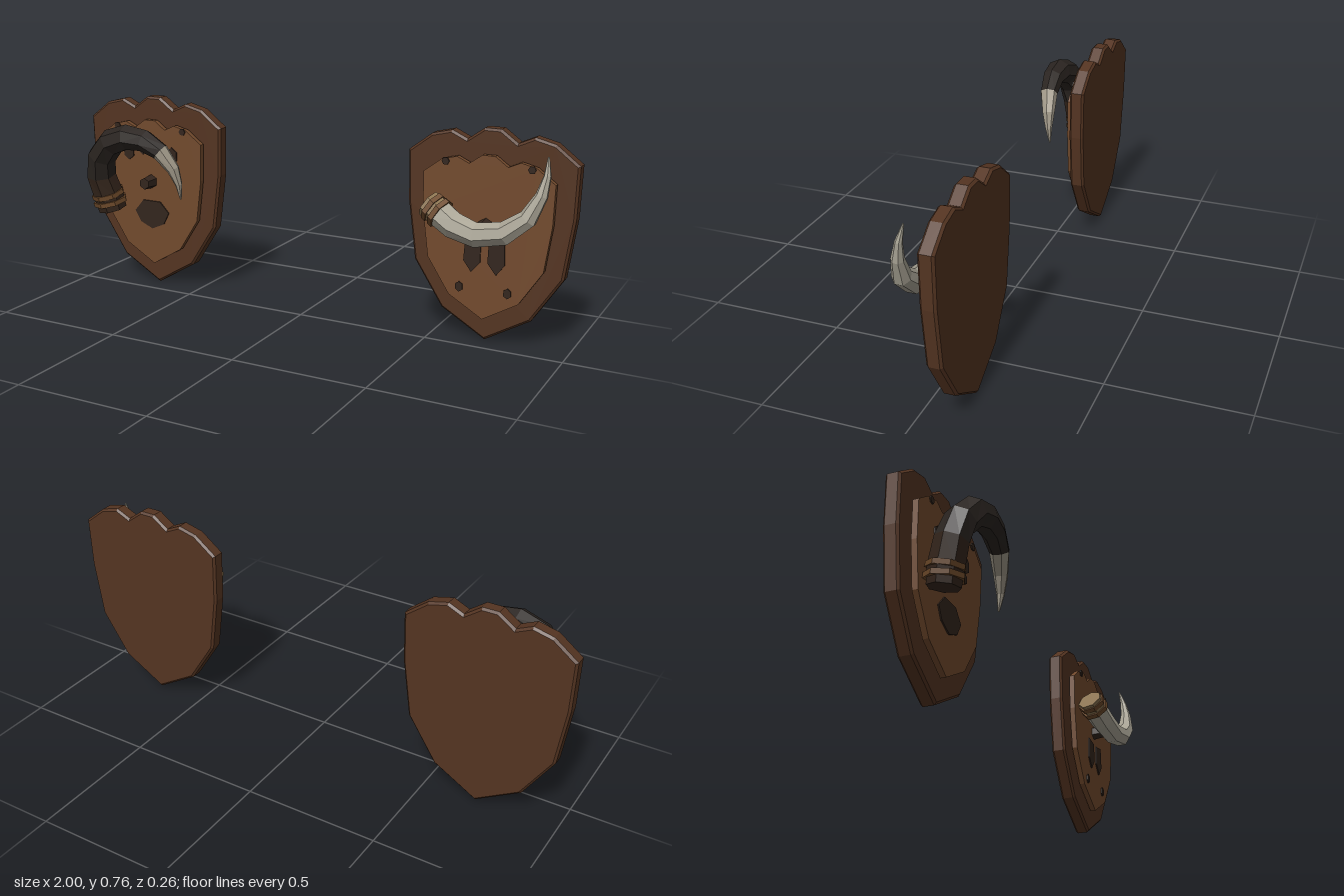
import * as THREE from 'three';

const mat = (color) => new THREE.MeshStandardMaterial({ color, flatShading: true });
const WOOD = mat(0x543421), PANEL = mat(0x724a2d), DARK = mat(0x33251d), BRASS = mat(0x6e4a2a);
const V = (p) => new THREE.Vector3(p[0], p[1], p[2]);

function add(parent, name, geometry, material) {
  const mesh = new THREE.Mesh(geometry, material);
  mesh.name = name;
  parent.add(mesh);
  return mesh;
}

// Shield outline: right half from the top centre down, mirrored for the left half
const HALF = [[0.03, 0.765], [0.09, 0.722], [0.147, 0.748], [0.22, 0.73], [0.305, 0.665],
  [0.301, 0.48], [0.272, 0.265], [0.165, 0.1]];
function shieldShape(scale) {
  const pts = [...HALF, [0, 0.003], ...HALF.map(([x, y]) => [-x, y]).reverse()];
  return new THREE.Shape(pts.map(([x, y]) =>
    new THREE.Vector2(x * scale, 0.385 + (y - 0.385) * scale)));
}

// Flat polygon plate standing on the panel
function plate(parent, name, pts) {
  const shape = new THREE.Shape(pts.map(([x, y]) => new THREE.Vector2(x, y)));
  const geo = new THREE.ExtrudeGeometry(shape, { depth: 0.006, bevelEnabled: false });
  add(parent, name, geo, DARK).position.z = -0.046;
}
function oval(cx, cy, rx, ry, sides, turn = 0) {
  return Array.from({ length: sides }, (_, i) => {
    const a = turn + (i / sides) * Math.PI * 2;
    return [cx + rx * Math.cos(a), cy + ry * Math.sin(a)];
  });
}

// Shield, inner panel, nails and the central peg
function plaque(name, x) {
  const g = new THREE.Group();
  g.name = name;
  g.position.x = x;
  add(g, 'shield', new THREE.ExtrudeGeometry(shieldShape(1), {
    depth: 0.039, bevelThickness: 0.008, bevelSize: 0.008, bevelOffset: -0.008, bevelSegments: 1,
  }), WOOD).position.z = -0.122;
  add(g, 'panel', new THREE.ExtrudeGeometry(shieldShape(0.77), {
    depth: 0.021, bevelEnabled: false,
  }), PANEL).position.z = -0.066;
  for (const s of [-1, 1]) plate(g, 'nail', oval(s * 0.153, 0.645, 0.014, 0.014, 6));
  const peg = add(g, 'peg', new THREE.CylinderGeometry(0.023, 0.028, 0.05, 6), DARK);
  peg.rotation.x = Math.PI / 2;
  peg.position.set(0, 0.432, -0.02);
  return g;
}

// Horn: polygon rings [x, y, z, radius] along a curve, split into coloured sections
const SIDES = 7;
function horn(name, rings, sections, bands) {
  const g = new THREE.Group();
  g.name = name;
  const curve = new THREE.CatmullRomCurve3(rings.map(V));
  const last = rings.length - 1;
  const loops = rings.map((r, i) => {
    const t = curve.getTangent(i / last);
    const b = new THREE.Vector3(0, 0, 1).addScaledVector(t, -t.z).normalize();
    const n = new THREE.Vector3().crossVectors(b, t);
    return Array.from({ length: SIDES }, (_, k) => {
      const a = (k / SIDES) * Math.PI * 2;
      return V(r).addScaledVector(n, Math.cos(a) * r[3]).addScaledVector(b, -Math.sin(a) * r[3]);
    });
  });
  for (const [part, from, to, color] of sections) {
    const pts = [];
    for (let k = 0; k < SIDES; k++) {
      const m = (k + 1) % SIDES;
      for (let i = from; i < to; i++) {
        const [a, b, c, d] = [loops[i][k], loops[i][m], loops[i + 1][m], loops[i + 1][k]];
        pts.push(a, b, c, a, c, d);
      }
      if (from === 0) pts.push(V(rings[0]), loops[0][m], loops[0][k]);
      if (to === last) pts.push(V(rings[last]), loops[last][k], loops[last][m]);
    }
    const geo = new THREE.BufferGeometry().setFromPoints(pts);
    geo.computeVertexNormals();
    const m = mat(color);
    m.side = THREE.DoubleSide;
    add(g, part, geo, m);
  }
  // Raised bands around the root
  for (const [t, radius] of bands) {
    const band = add(g, 'band', new THREE.CylinderGeometry(radius, radius, 0.018, SIDES), BRASS);
    band.position.copy(curve.getPoint(t / last));
    band.quaternion.setFromUnitVectors(new THREE.Vector3(0, 1, 0), curve.getTangent(t / last));
  }
  return g;
}

export function createModel() {
  const model = new THREE.Group();
  model.name = 'hornTrophies';

  // Paw print plaque with the dark, downward curling horn
  const paw = plaque('pawPlaque', -0.695);
  plate(paw, 'pawPad', [[-0.08, 0.305], [-0.04, 0.352], [0.04, 0.352], [0.08, 0.31],
    [0.055, 0.262], [0, 0.238], [-0.055, 0.262]]);
  for (const s of [-1, 1]) {
    plate(paw, 'toe', oval(s * 0.035, 0.572, 0.026, 0.034, 6, Math.PI / 6));
    plate(paw, 'toe', oval(s * 0.102, 0.545, 0.026, 0.034, 6, Math.PI / 6));
  }
  model.add(paw);
  model.add(horn('darkHorn', [
    [-0.848, 0.315, 0.012, 0.056], [-0.858, 0.375, 0.022, 0.06], [-0.871, 0.46, 0.045, 0.058],
    [-0.851, 0.54, 0.063, 0.056], [-0.794, 0.602, 0.074, 0.054], [-0.714, 0.63, 0.078, 0.05],
    [-0.634, 0.624, 0.077, 0.043], [-0.567, 0.586, 0.07, 0.035], [-0.521, 0.52, 0.055, 0.025],
    [-0.503, 0.46, 0.047, 0.014], [-0.5, 0.4, 0.04, 0.003],
  ], [['hornRoot', 0, 2, 0x35261c], ['hornBody', 2, 7, 0x2a2420], ['hornTip', 7, 10, 0xa39b8b]],
  [[0.55, 0.068], [1.05, 0.066]]));

  // Hoof print plaque with the pale, upward curling horn
  const hoof = plaque('hoofPlaque', 0.695);
  for (const s of [-1, 1]) {
    const toe = [[0.015, 0.375], [0.07, 0.385], [0.075, 0.3], [0.045, 0.26], [0.013, 0.3]];
    plate(hoof, 'hoofToe', toe.map(([x, y]) => [s * x, y]));
    plate(hoof, 'dewclaw', oval(s * 0.088, 0.2, 0.015, 0.019, 6, Math.PI / 6));
  }
  model.add(hoof);
  model.add(horn('paleHorn', [
    [0.503, 0.501, 0.005, 0.05], [0.55, 0.473, 0.014, 0.05], [0.605, 0.441, 0.027, 0.048],
    [0.69, 0.42, 0.038, 0.044], [0.79, 0.44, 0.042, 0.041], [0.867, 0.5, 0.041, 0.033],
    [0.906, 0.58, 0.032, 0.022], [0.918, 0.645, 0.02, 0.013], [0.914, 0.705, 0.004, 0.003],
  ], [['hornRoot', 0, 1, 0x8c7450], ['hornBody', 1, 8, 0xaaa596]],
  [[0.4, 0.056], [0.95, 0.057]]));

  return model;
}
